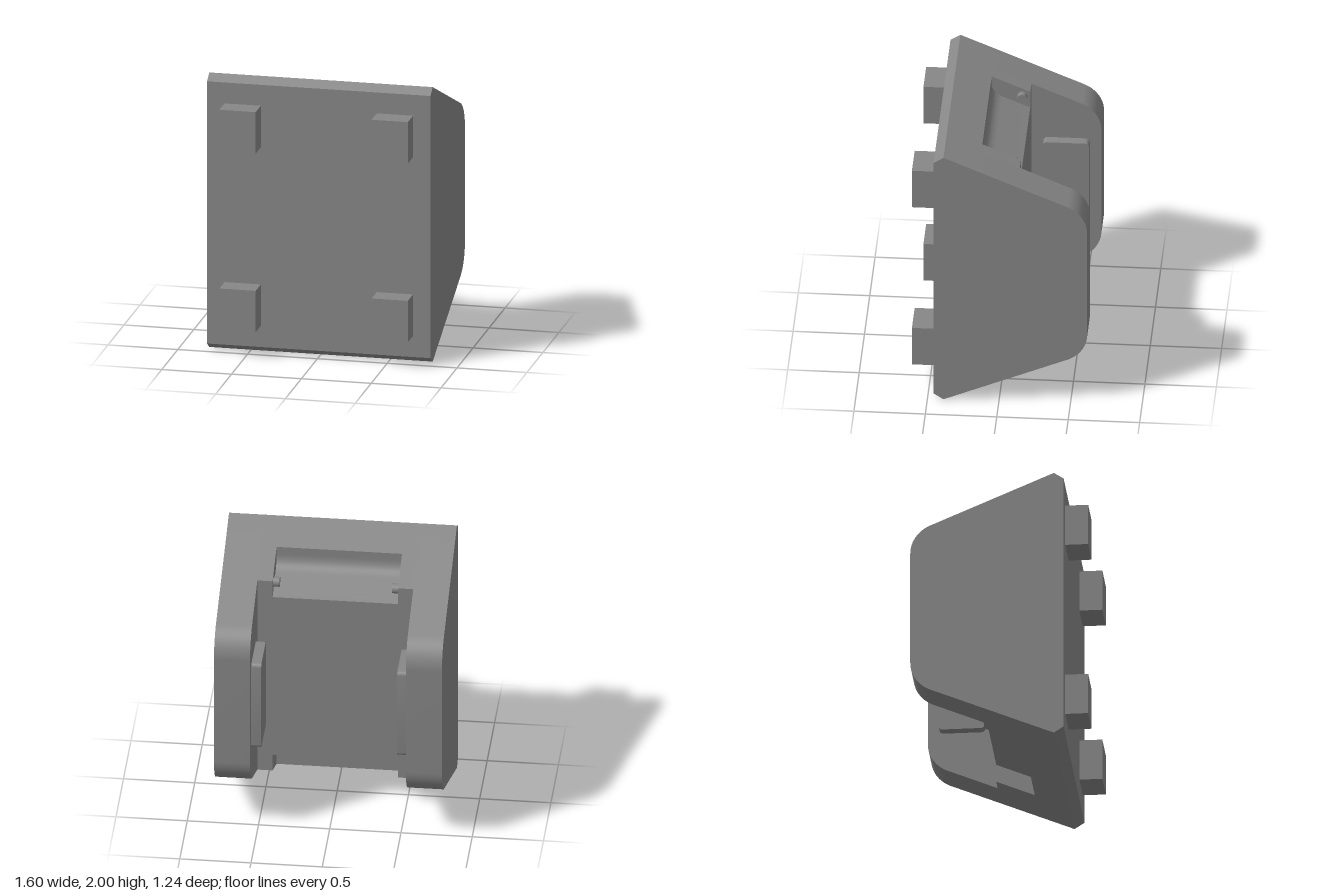
import * as THREE from 'three';
import { toCreasedNormals } from 'three/addons/utils/BufferGeometryUtils.js';

const material = new THREE.MeshStandardMaterial({ color: 0x878787 });

// Extrude a (z, y) outline across x from x0 to x1
function slab(name, shape, x0, x1) {
  let geo = new THREE.ExtrudeGeometry(shape, { depth: x1 - x0, bevelEnabled: false, curveSegments: 10 });
  geo.rotateY(-Math.PI / 2);
  geo.translate(x1, 0, 0);
  geo = toCreasedNormals(geo, 0.4);
  const mesh = new THREE.Mesh(geo, material);
  mesh.name = name;
  return mesh;
}

const FRONT = 0.457, BACK = -0.618, RIDGE = 0.388, CHANNEL = -0.128, SLOPE = 0.425;
const slopeY = (z) => 2 - (RIDGE - z) * SLOPE; // upper sloped face

// Front face with its two chamfers, shared by all slabs
function startOutline() {
  const s = new THREE.Shape();
  s.moveTo(RIDGE, 0);
  s.lineTo(FRONT, 0.045);
  s.lineTo(FRONT, 1.955);
  s.lineTo(RIDGE, 2);
  return s;
}

// Full side cheek, its rear corners rounded tangent to the slopes
function cheekShape() {
  const s = startOutline();
  const r = 0.23, tilt = Math.atan(SLOPE), a = Math.PI / 2 + tilt;
  const cz = BACK + r, cy = slopeY(cz) - r / Math.cos(tilt);
  s.absarc(cz, cy, r, a, Math.PI, false);
  s.absarc(cz, 2 - cy, r, Math.PI, 2 * Math.PI - a, false);
  s.closePath();
  return s;
}

// Section behind the channel without pockets
function webShape() {
  const s = startOutline();
  s.lineTo(CHANNEL, slopeY(CHANNEL));
  s.lineTo(CHANNEL, 2 - slopeY(CHANNEL));
  s.closePath();
  return s;
}

// Centre section with a filleted upper pocket and a square lower pocket
function pocketShape() {
  const s = startOutline(), zf = 0.142, depth = 0.13;
  const floor = (z) => slopeY(z) - depth;
  s.lineTo(zf, slopeY(zf));
  s.lineTo(zf, 1.84);
  s.quadraticCurveTo(zf, floor(zf), 0.065, floor(0.065));
  s.lineTo(CHANNEL, floor(CHANNEL));
  s.lineTo(CHANNEL, 2 - floor(CHANNEL));
  s.lineTo(zf, 2 - floor(zf));
  s.lineTo(zf, 2 - slopeY(zf));
  s.closePath();
  return s;
}

// Rounded rectangle for the grip pads
function padShape(z0, z1, y0, y1, r) {
  const s = new THREE.Shape();
  s.absarc(z1 - r, y0 + r, r, -Math.PI / 2, 0, false);
  s.absarc(z1 - r, y1 - r, r, 0, Math.PI / 2, false);
  s.absarc(z0 + r, y1 - r, r, Math.PI / 2, Math.PI, false);
  s.absarc(z0 + r, y0 + r, r, Math.PI, Math.PI * 1.5, false);
  s.closePath();
  return s;
}

export function createModel() {
  const model = new THREE.Group();
  model.name = 'bracketBlock';

  model.add(slab('centreSection', pocketShape(), -0.44, 0.44));

  for (const [side, label] of [[1, 'left'], [-1, 'right']]) {
    const span = (name, shape, a, b) =>
      model.add(slab(label + name, shape, Math.min(side * a, side * b), Math.max(side * a, side * b)));
    span('Cheek', cheekShape(), 0.547, 0.8);
    span('Web', webShape(), 0.44, 0.547);
    span('Pad', padShape(-0.537, -0.213, 0.655, 1.345, 0.03), 0.477, 0.547);

    // Hinge pin at the side of the upper pocket
    const pin = new THREE.Mesh(new THREE.CylinderGeometry(0.035, 0.035, 0.045, 24), material);
    pin.rotation.z = Math.PI / 2;
    pin.position.set(side * 0.4175, 1.745, -0.073);
    pin.name = label + 'Pin';
    model.add(pin);

    // Square feet on the front face
    for (const [y, level] of [[0.35, 'Lower'], [1.652, 'Upper']]) {
      const foot = new THREE.Mesh(new THREE.BoxGeometry(0.26, 0.302, 0.161), material);
      foot.position.set(side * 0.545, y, FRONT + 0.0805);
      foot.name = label + level + 'Foot';
      model.add(foot);
    }
  }
  return model;
}
